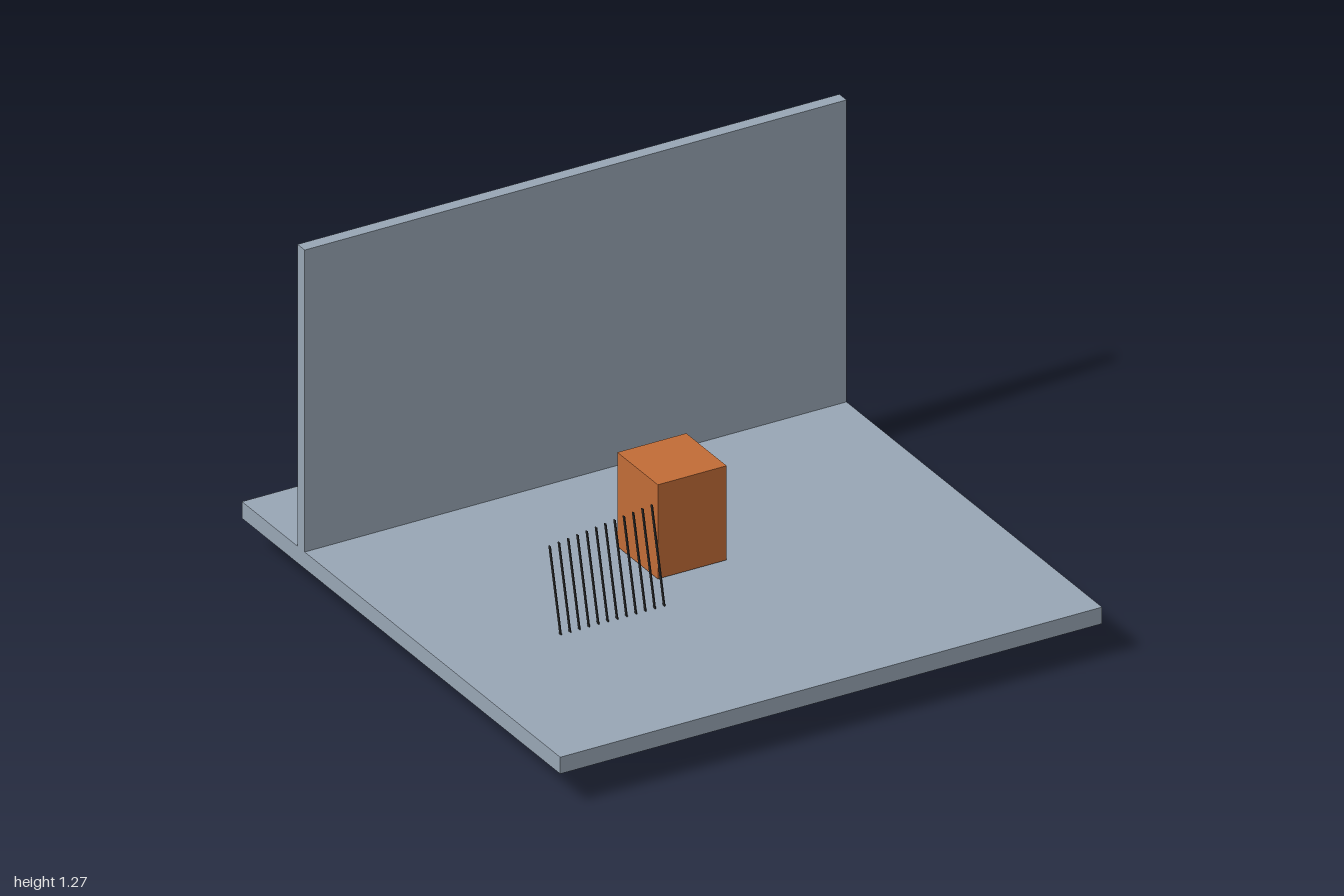
import * as THREE from 'three';

export function createModel() {
  const model = new THREE.Group();
  const stone = new THREE.MeshStandardMaterial({ color: 0x98a6b5 });
  const orange = new THREE.MeshStandardMaterial({ color: 0xc26c37 });
  const dark = new THREE.MeshStandardMaterial({ color: 0x333333 });

  function box(name, size, position, material, parent = model) {
    const mesh = new THREE.Mesh(new THREE.BoxGeometry(...size), material);
    mesh.name = name;
    mesh.position.set(...position);
    parent.add(mesh);
  }

  // Floor, back wall and the block in the middle
  box('floor', [2, 0.06, 2], [0, 0.152, 0], stone);
  box('wall', [2, 1.09, 0.045], [0, 0.727, -0.628], stone);
  box('block', [0.254, 0.34, 0.254], [0, 0.356, 0], orange);

  // Tilted row of thin slats that passes through the floor
  const slats = new THREE.Group();
  slats.name = 'slats';
  slats.position.set(-0.4, 0.28, 0.286);
  slats.rotation.z = THREE.MathUtils.degToRad(7);
  const count = 12;
  for (let i = 0; i < count; i++) {
    const x = (i - (count - 1) / 2) * 0.0345;
    box('slat', [0.004, 0.514, 0.01], [x, 0, 0], dark, slats);
  }
  model.add(slats);

  return model;
}
